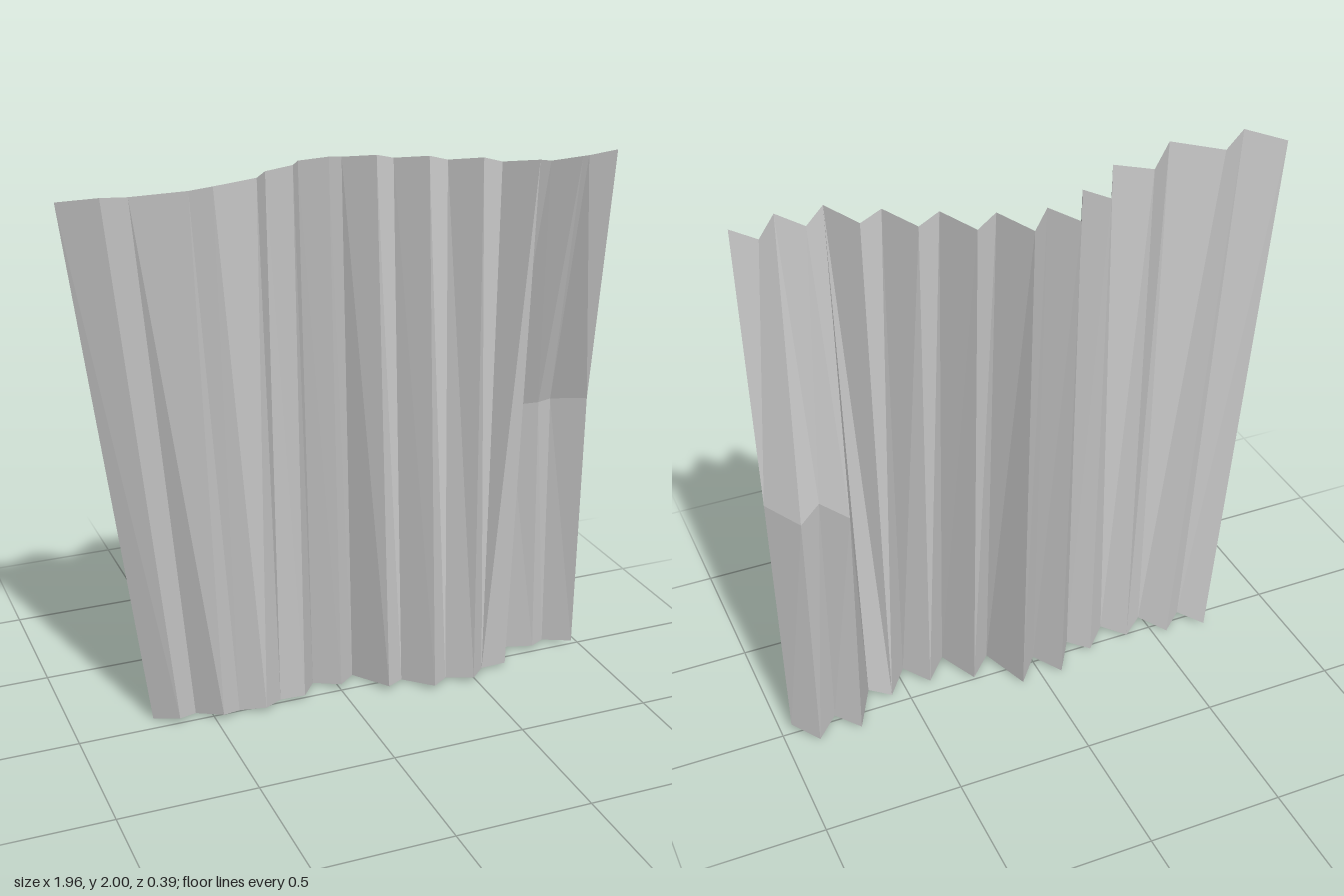
import * as THREE from 'three';

// One fold line per entry: top x, top z, bottom x, bottom z
const folds = [
  [-0.98, 0.055, -0.71, -0.065], [-0.86, 0.15, -0.63, 0.01],
  [-0.75, 0.075, -0.555, -0.045], [-0.58, 0.165, -0.475, 0.045],
  [-0.46, 0.04, -0.4, -0.005], [-0.325, 0.08, -0.315, 0.055],
  [-0.235, -0.095, -0.235, -0.02], [-0.155, -0.045, -0.155, 0.025],
  [-0.08, -0.2, -0.08, -0.09], [0, -0.115, 0, 0],
  [0.08, -0.2, 0.08, -0.09], [0.16, -0.08, 0.16, 0.08],
  [0.24, -0.12, 0.24, 0.01], [0.32, 0, 0.32, 0.14],
  [0.4, -0.025, 0.4, 0.06], [0.48, 0.09, 0.48, 0.14],
  [0.56, 0.07, 0.56, 0.045], [0.64, 0.19, 0.64, 0.08],
  [0.72, 0.12, 0.72, -0.07], [0.8, 0.195, 0.8, 0.0],
  [0.88, 0.095, 0.88, -0.07], [0.96, 0.15, 0.96, 0.02],
];
// Depth at half height of the last four folds, which are bent
const bentFrom = 18;
const bends = [[0.72, 1.0, -0.12], [0.8, 1.03, -0.04], [0.885, 1.01, -0.105], [0.975, 1.04, 0.01]];

export function createModel() {
  const group = new THREE.Group();
  group.name = 'pleatedCurtain';

  // Ridges sit slightly higher than valleys at both hems
  const top = folds.map(([x, z], i) => [x, i % 2 ? 2 : 1.975, z]);
  const bottom = folds.map(([, , x, z], i) => [x, i % 2 ? 0.03 : 0.005, z]);
  const positions = [];
  const tri = (a, b, c) => positions.push(...a, ...b, ...c);

  for (let i = 0; i < folds.length - 1; i++) {
    const [t0, t1, b0, b1] = [top[i], top[i + 1], bottom[i], bottom[i + 1]];
    if (i >= bentFrom) {
      // bent panels: an upper and a lower strip
      const m0 = bends[i - bentFrom], m1 = bends[i + 1 - bentFrom];
      tri(t0, m0, m1); tri(t0, m1, t1);
      tri(m0, b0, b1); tri(m0, b1, m1);
    } else if (i === bentFrom - 1) {
      // panel joining the straight pleats to the bent ones
      const m1 = bends[0];
      tri(t0, m1, t1); tri(t0, b0, m1); tri(b0, b1, m1);
    } else if (i === bentFrom - 2) {
      tri(t0, b0, t1); tri(b0, b1, t1);
    } else {
      tri(t0, b0, b1); tri(t0, b1, t1);
    }
  }

  const geometry = new THREE.BufferGeometry();
  geometry.setAttribute('position', new THREE.Float32BufferAttribute(positions, 3));
  geometry.computeVertexNormals();
  const sheet = new THREE.Mesh(geometry, new THREE.MeshStandardMaterial({
    color: 0xcccccc, flatShading: true, side: THREE.DoubleSide,
  }));
  sheet.name = 'pleatedSheet';
  group.add(sheet);
  return group;
}
